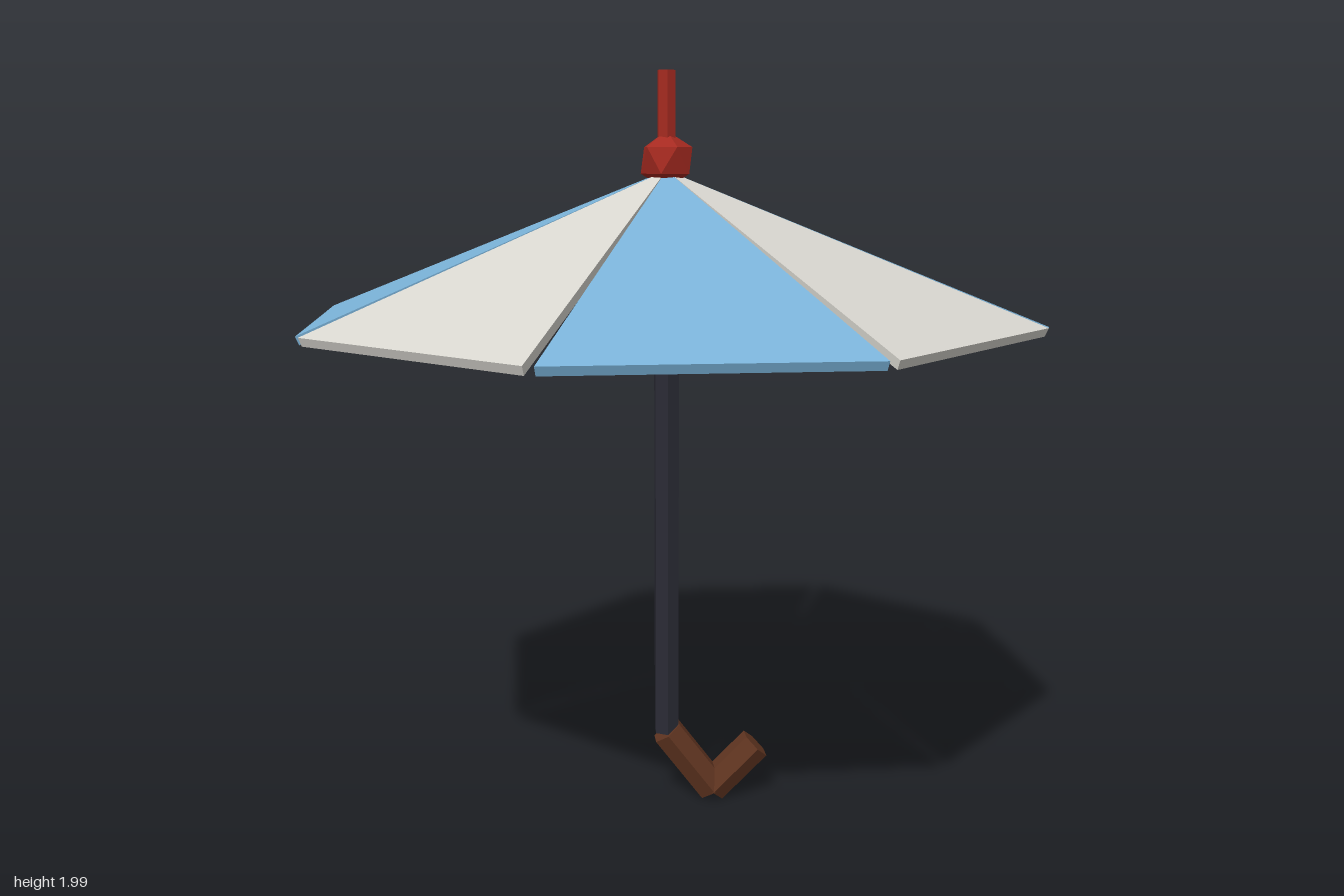
import * as THREE from 'three';

const paint = (name, color) => {
  const m = new THREE.MeshStandardMaterial({ color, flatShading: true });
  m.name = name;
  return m;
};

// Wedge-shaped canopy panel facing +z: upper triangle, lower triangle, joined by side walls
function panelGeometry() {
  const corners = [
    0, 1.75, 0, -0.361, 1.375, 0.905, 0.361, 1.375, 0.905,
    0, 1.728, 0, -0.358, 1.354, 0.897, 0.358, 1.354, 0.897,
  ];
  const faces = [0, 1, 2, 3, 5, 4];
  for (let a = 0; a < 3; a++) {
    const b = (a + 1) % 3;
    faces.push(a, a + 3, b + 3, a, b + 3, b);
  }
  const indexed = new THREE.BufferGeometry();
  indexed.setAttribute('position', new THREE.Float32BufferAttribute(corners, 3));
  indexed.setIndex(faces);
  const geometry = indexed.toNonIndexed();
  geometry.computeVertexNormals();
  return geometry;
}

export function createModel() {
  const blue = paint('sky blue', 0x7ab2d8);
  const cream = paint('off white', 0xd8d6cf);
  const red = paint('red', 0xa52a20);
  const brown = paint('brown wood', 0x5f3420);
  const dark = paint('charcoal', 0x2a2b35);

  const umbrella = new THREE.Group();
  umbrella.name = 'umbrella';

  const add = (name, geometry, material, parent = umbrella) => {
    const mesh = new THREE.Mesh(geometry, material);
    mesh.name = name;
    parent.add(mesh);
    return mesh;
  };

  // Six-sided rod between two points in the xy plane
  const rod = (name, radius, from, to, material) => {
    const a = new THREE.Vector3(...from, 0);
    const b = new THREE.Vector3(...to, 0);
    const dir = b.clone().sub(a);
    const mesh = add(name, new THREE.CylinderGeometry(radius, radius, dir.length(), 6), material);
    mesh.position.copy(a).add(b).multiplyScalar(0.5);
    mesh.rotation.z = Math.atan2(-dir.x, dir.y);
  };

  // Canopy of eight alternating panels
  const canopy = new THREE.Group();
  canopy.name = 'canopy';
  umbrella.add(canopy);
  const panel = panelGeometry();
  for (let i = 0; i < 8; i++) {
    add(`canopyPanel${i + 1}`, panel, i % 2 ? cream : blue, canopy).rotation.y = (i * Math.PI) / 4;
  }

  // Shaft and tip
  rod('shaft', 0.036, [0, 0.21], [0, 1.66], dark);
  rod('tip', 0.025, [0, 1.78], [0, 2], red);

  // Faceted knob standing on one of its corners
  const knob = new THREE.IcosahedronGeometry(0.075, 0);
  knob.rotateZ(-Math.atan(2 / (1 + Math.sqrt(5))));
  add('knob', knob, red).position.y = 1.775;

  // Hooked handle
  rod('handleGrip', 0.047, [0.001, 0.21], [0.131, 0.035], brown);
  rod('handleHook', 0.047, [0.127, 0.035], [0.252, 0.16], brown);

  return umbrella;
}
